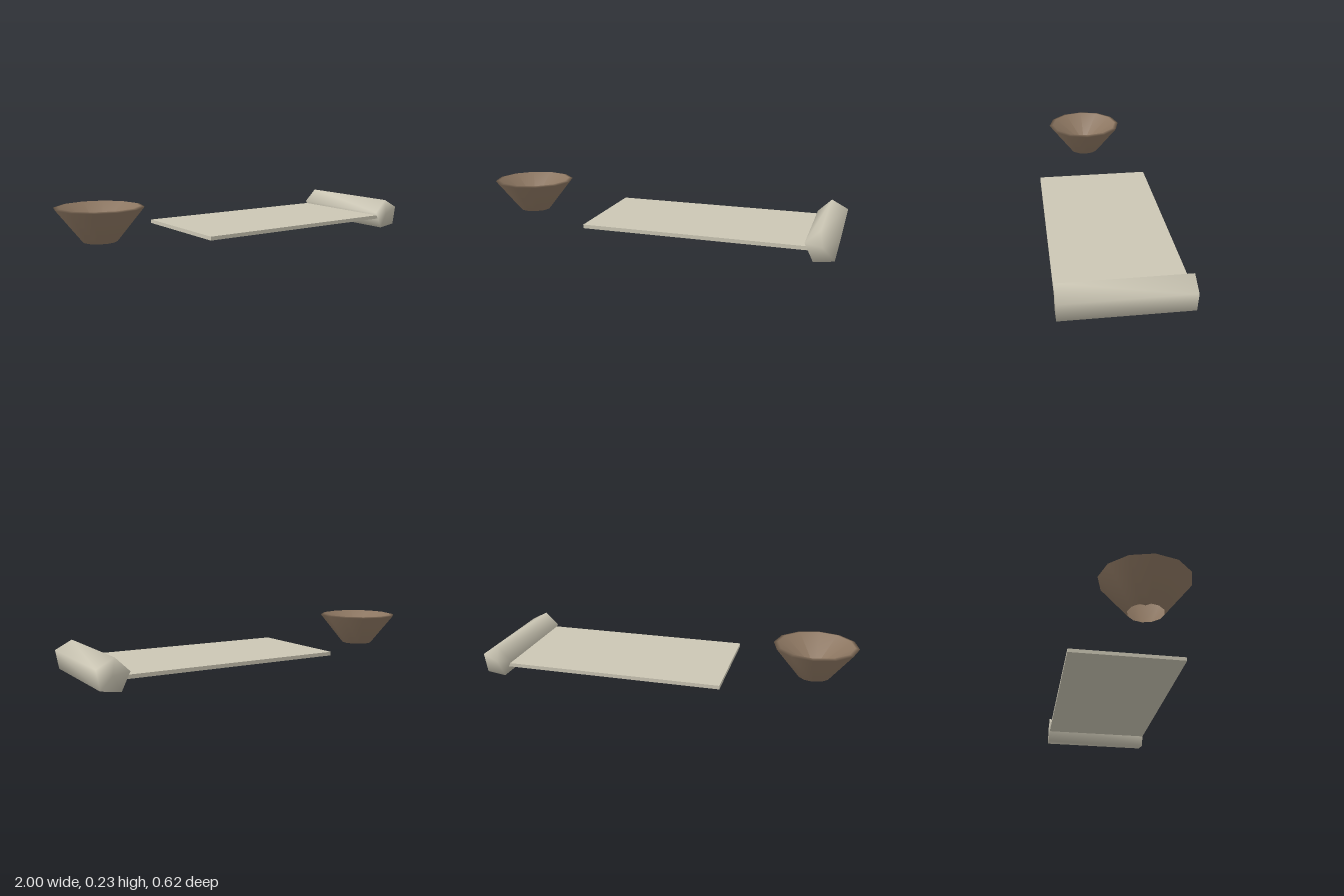
import * as THREE from 'three';
import { mergeVertices } from 'three/addons/utils/BufferGeometryUtils.js';

export function createModel() {
  const model = new THREE.Group();
  const parchment = new THREE.MeshStandardMaterial({ color: 0xcbc6b4 });
  parchment.name = 'parchment';
  const clay = new THREE.MeshStandardMaterial({ color: 0x8b7560, side: THREE.DoubleSide });
  clay.name = 'clay';

  const add = (name, geometry, material, x, y, z) => {
    const mesh = new THREE.Mesh(geometry, material);
    mesh.name = name;
    mesh.position.set(x, y, z);
    model.add(mesh);
  };

  // Bowl: open foot, narrow bevelled rim, conical inside
  const profile = [[0.087, 0.055], [0.223, 0.225], [0.2, 0.23], [0, 0.095]]
    .map(([r, y]) => new THREE.Vector2(r, y));
  add('bowl', new THREE.LatheGeometry(profile, 12), clay, -0.777, 0, 0);

  // Flat sheet, running into the roll
  const sheetStart = -0.325, sheetEnd = 0.88;
  add('sheet', new THREE.BoxGeometry(sheetEnd - sheetStart, 0.02, 0.624), parchment,
    (sheetStart + sheetEnd) / 2, 0.067, 0);

  // Five-sided roll, with normals shared between sides and ends
  let roll = new THREE.CylinderGeometry(0.087, 0.087, 0.625, 5, 1, false, THREE.MathUtils.degToRad(188));
  roll.rotateX(Math.PI / 2);
  roll.deleteAttribute('normal');
  roll.deleteAttribute('uv');
  roll = mergeVertices(roll, 1e-4);
  roll.computeVertexNormals();
  add('roll', roll, parchment, 0.922, 0.077, 0);

  return model;
}
